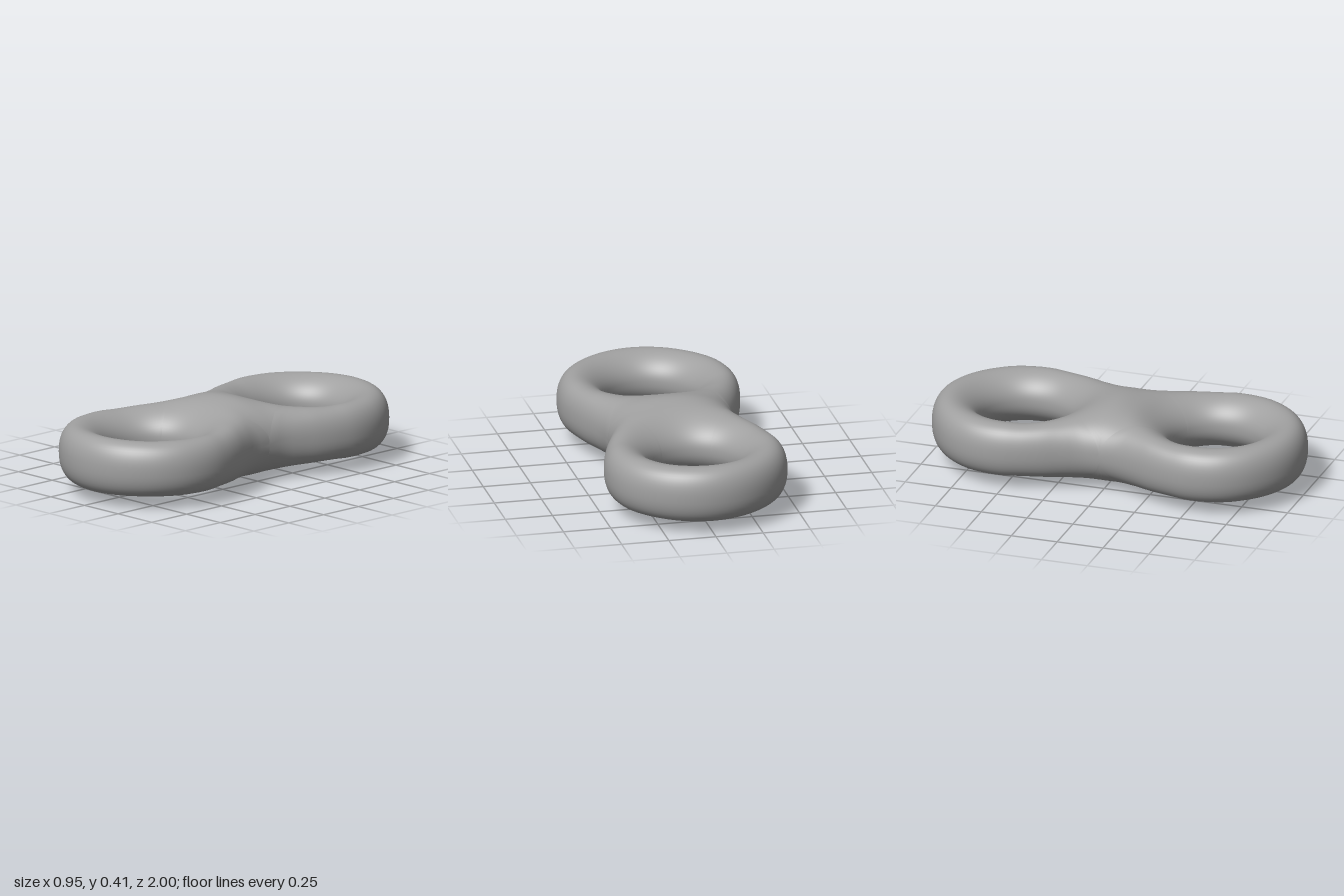
import * as THREE from 'three';
import { mergeGeometries, mergeVertices } from 'three/addons/utils/BufferGeometryUtils.js';

const MID = 0.205, HOLE_Z = 0.52, HOLE_R = 0.235, WAIST = 0.34;

// Squared half-width of the outline, and height factor, at |z| = 0, 0.1, 0.2 ...
const OUTLINE = [0.1156, 0.1225, 0.148, 0.18, 0.207, 0.2237, 0.221, 0.198, 0.152, 0.084, 0, -0.1];
const SWELL = [8.6, 7.6, 5.5, 4.1, 3.1, 2.54, 2.07, 1.76, 1.54, 1.48, 1.45, 1.45];

// Smooth lookup, symmetric about z = 0
function sample(table, z) {
  const s = Math.abs(z) * 10, i = Math.min(Math.floor(s), 10), t = s - i;
  const p = k => table[Math.min(Math.abs(k), 11)];
  const m0 = (p(i + 1) - p(i - 1)) / 2, m1 = (p(i + 2) - p(i)) / 2;
  const t2 = t * t, t3 = t2 * t;
  return p(i) * (2 * t3 - 3 * t2 + 1) + m0 * (t3 - 2 * t2 + t) + p(i + 1) * (3 * t2 - 2 * t3) + m1 * (t3 - t2);
}

const inside = (x, z) => sample(OUTLINE, z) - x * x;

// Half thickness: zero on the outline and on both hole edges, swelling in the middle
function height(x, z) {
  const hole = c => x * x + (z - c) ** 2 - HOLE_R ** 2;
  const swell = sample(SWELL, z) / (1 + 6 * x * x * Math.exp(-((z / 0.15) ** 2)));
  const q = swell * inside(x, z) * hole(HOLE_Z) * hole(-HOLE_Z) / 0.0196;
  return q < 1e-6 ? 0 : 0.14 * q ** 0.45;
}

// Distance from the hole centre to the outline along an angle
function outlineRadius(a) {
  let lo = HOLE_R, hi = 0.75;
  for (let k = 0; k < 40; k++) {
    const r = (lo + hi) / 2;
    if (inside(r * Math.sin(a), HOLE_Z + r * Math.cos(a)) > 0) lo = r; else hi = r;
  }
  return lo;
}

const ease = t => (1 - Math.cos(Math.PI * t)) / 2;

// One fan of the surface around a hole, upper (side = 1) or lower (side = -1)
function fan(angles, radius, side) {
  const rows = 28, pos = [], index = [];
  angles.forEach((a, j) => {
    const outer = radius(a);
    for (let i = 0; i <= rows; i++) {
      const r = HOLE_R + (outer - HOLE_R) * ease(i / rows);
      const x = r * Math.sin(a), z = HOLE_Z + r * Math.cos(a);
      const rim = i === 0 || (i === rows && z > 1e-3);
      pos.push(x, MID + side * (rim ? 0 : height(x, z)), z);
      if (i < rows && j < angles.length - 1) {
        const p = j * (rows + 1) + i, q = p + rows + 1;
        if (side > 0) index.push(p, p + 1, q, q, p + 1, q + 1);
        else index.push(p, q, p + 1, q, q + 1, p + 1);
      }
    }
  });
  const g = new THREE.BufferGeometry();
  g.setAttribute('position', new THREE.Float32BufferAttribute(pos, 3));
  g.setIndex(index);
  return g;
}

export function createModel() {
  const grey = new THREE.MeshStandardMaterial({ color: 0xa0a0a0 });
  grey.name = 'plain grey';

  // Angles run from the waist corner round the ring, then across the bridge
  const corner = Math.PI - Math.atan2(WAIST, HOLE_Z);
  const ring = Array.from({ length: 81 }, (_, k) => -corner + 2 * corner * k / 80);
  const bridge = Array.from({ length: 33 }, (_, k) => corner + 2 * (Math.PI - corner) * ease(k / 32));

  const parts = [];
  for (const side of [1, -1]) {
    for (const turn of [0, Math.PI]) {
      parts.push(fan(ring, outlineRadius, side).rotateY(turn));
      parts.push(fan(bridge, a => -HOLE_Z / Math.cos(a), side).rotateY(turn));
    }
  }

  // Weld the seams so the whole skin shades smoothly
  const skin = mergeVertices(mergeGeometries(parts), 1e-4);
  skin.computeVertexNormals();

  const mesh = new THREE.Mesh(skin, grey);
  mesh.name = 'doubleRing';
  const group = new THREE.Group();
  group.name = 'twoHoledRing';
  group.add(mesh);
  return group;
}
